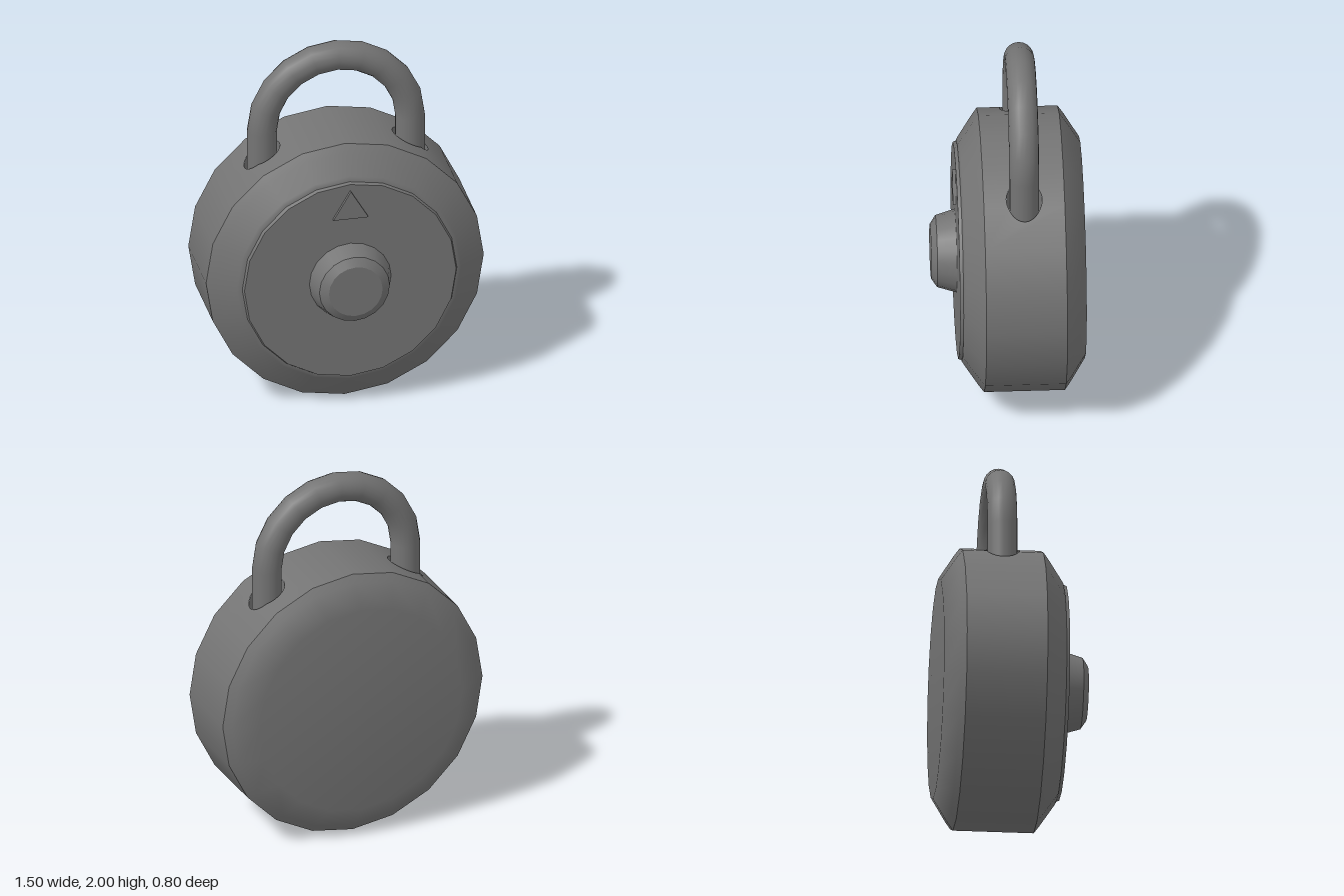
import * as THREE from 'three';
import { mergeGeometries } from 'three/addons/utils/BufferGeometryUtils.js';

const SIDES = 20, STEP = (2 * Math.PI) / SIDES;
const R = 0.75, CENTER_Y = 0.753;
const BACK = -0.29, FRONT = 0.137; // ends of the cylindrical rim
const LEG_X = 0.4, LEG_Z = -0.077, TUBE_R = 0.079, HOLE_R = 0.095;

const DARK = 0x747474;
const material = new THREE.MeshStandardMaterial({ color: DARK });
const openMaterial = new THREE.MeshStandardMaterial({ color: DARK, side: THREE.DoubleSide });

function mesh(name, geometry, mat = material) {
  const m = new THREE.Mesh(geometry, mat);
  m.name = name;
  return m;
}

// Turned piece around the z axis; each profile is [radius, z] from back to front
function turned(profile, segments = SIDES, start = 0, length = 2 * Math.PI) {
  const points = profile.map(([r, z]) => new THREE.Vector2(r, z));
  return new THREE.LatheGeometry(points, segments, start, length).rotateX(Math.PI / 2);
}

// Several profiles joined with sharp edges between them
const turnedParts = (profiles) => mergeGeometries(profiles.map((p) => turned(p)));

// Rim corners on either side of the shackle holes
const corner = [1, 2, 3].map((i) => [R * Math.sin(i * STEP), R * Math.cos(i * STEP)]);

// Height of the faceted rim above the case centre
function rimHeight(x) {
  const a = Math.abs(x), k = a < corner[1][0] ? 0 : 1;
  const [x0, y0] = corner[k], [x1, y1] = corner[k + 1];
  return y0 + ((a - x0) / (x1 - x0)) * (y1 - y0);
}

// One rim facet with half of a shackle hole cut out of its edge
function notchedFacet(side, outer) {
  const xm = corner[1][0], xe = corner[outer ? 2 : 0][0];
  const alpha = Math.acos((xm - LEG_X) / HOLE_R);
  const shape = new THREE.Shape();
  shape.moveTo(xm, -FRONT);
  shape.lineTo(xm, -LEG_Z - HOLE_R * Math.sin(alpha));
  shape.absarc(LEG_X, -LEG_Z, HOLE_R, -alpha, alpha, !outer);
  shape.lineTo(xm, -BACK);
  shape.lineTo(xe, -BACK);
  shape.lineTo(xe, -FRONT);
  const points = shape.getPoints(12).map((p) => new THREE.Vector2(p.x * side, p.y));
  const geometry = new THREE.ShapeGeometry(new THREE.Shape(points)).rotateX(-Math.PI / 2);
  const pos = geometry.attributes.position, normal = geometry.attributes.normal;
  for (let i = 0; i < pos.count; i++) {
    const x = pos.getX(i), y = rimHeight(x), d = Math.hypot(x, y);
    pos.setY(i, y);
    normal.setXYZ(i, x / d, y / d, 0);
  }
  return geometry;
}

// Wall and floor of a shackle hole, the wall meeting the rim
function socket(side) {
  const floorY = 0.46;
  const wall = new THREE.CylinderGeometry(HOLE_R, HOLE_R, 1, 24, 1, true).translate(side * LEG_X, 0, LEG_Z);
  const pos = wall.attributes.position;
  for (let i = 0; i < pos.count; i++) pos.setY(i, pos.getY(i) > 0 ? rimHeight(pos.getX(i)) : floorY);
  const floor = new THREE.CircleGeometry(HOLE_R, 24).rotateX(-Math.PI / 2).translate(side * LEG_X, floorY, LEG_Z);
  return mergeGeometries([wall, floor]);
}

// Two straight legs joined by a half circle, at constant speed
class ShacklePath extends THREE.Curve {
  getPoint(t, target = new THREE.Vector3()) {
    const bendY = 1.52, unit = LEG_X * STEP, s = t * 14;
    if (s < 2) return target.set(LEG_X, bendY - (2 - s) * unit, LEG_Z);
    if (s > 12) return target.set(-LEG_X, bendY - (s - 12) * unit, LEG_Z);
    const a = (s - 2) * STEP;
    return target.set(LEG_X * Math.cos(a), bendY + LEG_X * Math.sin(a), LEG_Z);
  }
}

export function createModel() {
  const model = new THREE.Group();
  model.name = 'padlock';
  const lock = new THREE.Group();
  lock.name = 'case';
  lock.position.y = CENTER_Y;
  model.add(lock);

  // Soft-edged back and bevelled front of the case
  lock.add(mesh('caseBack', turned([[0, -0.4], [0.585, -0.399], [0.71, -0.319], [R, BACK]])));
  lock.add(mesh('caseFrontBevel', turned([[R, FRONT], [0.71, 0.167], [0.605, 0.238], [0.585, 0.25], [0.56, 0.25]])));

  // Rim in one piece, with notched facets around the shackle holes
  const band = [[R, BACK], [R, FRONT]];
  lock.add(mesh('rim', mergeGeometries([
    turned(band, 2, Math.PI - STEP, 2 * STEP),
    turned(band, 14, Math.PI + 3 * STEP, 14 * STEP),
    ...[1, -1].flatMap((side) => [notchedFacet(side, false), notchedFacet(side, true)]),
  ])));
  lock.add(mesh('leftShackleHole', socket(1), openMaterial));
  lock.add(mesh('rightShackleHole', socket(-1), openMaterial));

  // Dial plate and its turning knob
  lock.add(mesh('dial', turnedParts([
    [[0.582, 0.245], [0.572, 0.268]],
    [[0.572, 0.268], [0, 0.268]],
  ])));
  lock.add(mesh('knob', turnedParts([
    [[0.222, 0.265], [0.19, 0.37]],
    [[0.19, 0.37], [0.145, 0.4]],
    [[0.145, 0.4], [0, 0.4]],
  ])));

  // Raised triangular pointer
  const triangle = new THREE.Shape([[-0.095, 0.375], [0.095, 0.375], [0, 0.537]].map(([x, y]) => new THREE.Vector2(x, y)));
  const pointer = mesh('pointer', new THREE.ExtrudeGeometry(triangle, { depth: 0.03, bevelEnabled: false }));
  pointer.position.z = 0.255;
  lock.add(pointer);

  // Shackle
  const path = new ShacklePath();
  path.arcLengthDivisions = 280;
  model.add(mesh('shackle', new THREE.TubeGeometry(path, 14, TUBE_R, 20, false), openMaterial));
  return model;
}
